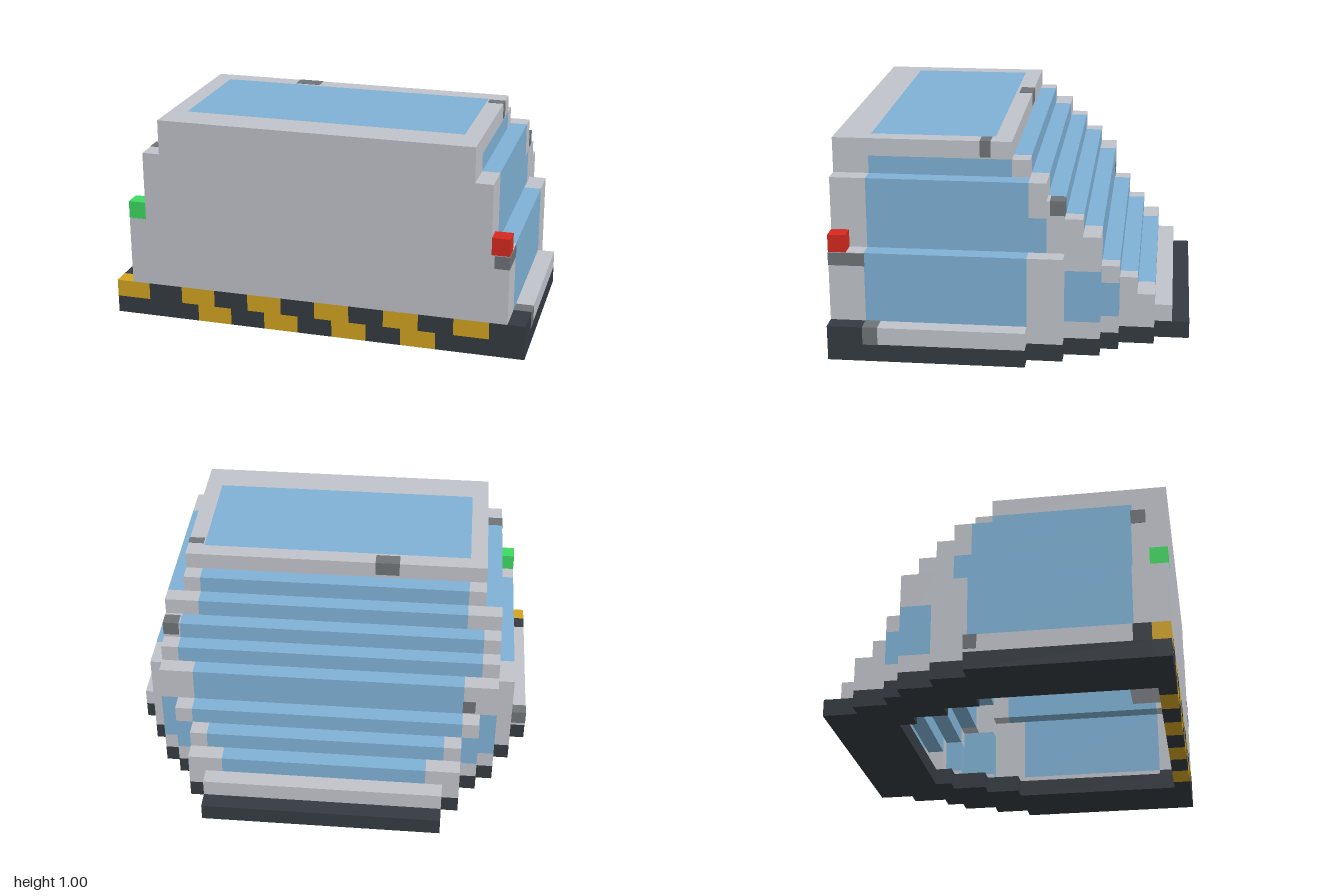
import * as THREE from 'three';

const U = 1 / 12; // one block; all coordinates below are in blocks

function material(name, color) {
  const m = new THREE.MeshStandardMaterial({ color });
  m.name = name;
  return m;
}

export function createModel() {
  const hull = material('hull grey', 0xc1c4ca);
  const glass = material('window blue', 0x7fb2d6);
  const dark = material('base charcoal', 0x353b42);
  const yellow = material('hazard yellow', 0xd3a520);
  const worn = material('worn grey', 0x707478);
  const red = material('red light', 0xd52a20);
  const green = material('green light', 0x3dda60);

  const model = new THREE.Group();
  model.name = 'cabin';
  const groups = {};

  // Block spanning the given ranges, collected under a named part
  function block(part, mat, x0, x1, y0, y1, z0, z1, grow = 0) {
    if (!groups[part]) {
      groups[part] = new THREE.Group();
      groups[part].name = part;
      model.add(groups[part]);
    }
    const g = new THREE.BoxGeometry((x1 - x0 + grow) * U, (y1 - y0 + grow) * U, (z1 - z0 + grow) * U);
    g.translate((x0 + x1) / 2 * U, (y0 + y1) / 2 * U, (z0 + z1) / 2 * U);
    const mesh = new THREE.Mesh(g, mat);
    mesh.name = part + 'Block';
    groups[part].add(mesh);
  }
  // Same block on both sides
  function pair(part, mat, x0, x1, ...rest) {
    block(part, mat, x0, x1, ...rest);
    block(part, mat, -x1, -x0, ...rest);
  }

  // Broad base ring around a stepped floor opening
  for (const [x0, x1, z0, z1] of [
    [8, 12, -1, 9], [7, 11, -3, -1], [6, 10, -5, -3], [5, 9, -6, -5],
  ]) pair('baseRing', dark, x0, x1, 0, 1, z0, z1);
  block('baseRing', dark, -8, 8, 0, 1, -8, -6);
  block('baseRing', dark, -7, 7, 0, 1, -10, -8);
  pair('baseRing', dark, 10, 12, 1, 2, 8, 9);

  // Hazard strip across the front: two offset rows of yellow and charcoal
  function hazardRow(y, starts) {
    let x = -12;
    for (const s of starts) {
      if (s > x) block('hazardStrip', dark, x, s, y, y + 1, 9, 10);
      block('hazardStrip', yellow, s, s + 2, y, y + 1, 9, 10);
      x = s + 2;
    }
    block('hazardStrip', dark, x, 12, y, y + 1, 9, 10);
  }
  hazardRow(1, [-12, -8, -4, 0, 4, 8]);
  hazardRow(0, [-7, -3, 1, 5]);

  // Front wall in three tiers
  for (const [w, y0, y1] of [[11, 2, 6], [10, 6, 10], [9, 10, 12]])
    block('frontWall', hull, -w, w, y0, y1, 9, 10);

  // Roof frame and skylight
  block('roof', hull, -9, 9, 11, 12, 0, 1);
  block('roof', hull, -9, 9, 11, 12, 8, 9);
  pair('roof', hull, 8, 9, 11, 12, 1, 8);
  block('skylight', glass, -8, 8, 11, 12, 1, 8);

  // Side walls: front posts, tiered windows and curb
  pair('frontPost', hull, 8, 9, 10, 11, 8, 9);
  pair('frontPost', hull, 9, 10, 6, 10, 8, 9);
  pair('frontPost', hull, 10, 11, 2, 6, 8, 9);
  pair('sideWindow', glass, 8, 9, 10, 11, 0, 8);
  pair('sideWindow', glass, 9, 10, 8, 10, -1, 8);
  pair('sideWindow', glass, 9, 10, 6, 8, -2, 8);
  pair('sideWindow', glass, 10, 11, 2, 6, -1, 8);
  pair('curb', hull, 10, 12, 1, 2, -1, 8);

  // Rear posts and the stepped lower side walls
  pair('rearPost', hull, 10, 11, 1, 6, -3, -1);
  pair('rearPost', hull, 9, 10, 8, 10, -2, -1);
  pair('rearPost', hull, 9, 10, 6, 8, -3, -2);
  pair('rearPost', hull, 9, 10, 5, 7, -4, -3);
  pair('rearSill', hull, 9, 10, 1, 2, -5, -3);
  pair('rearSill', hull, 8, 9, 1, 2, -6, -5);
  pair('rearSill', hull, 7, 8, 1, 3, -7, -6);
  pair('rearSill', hull, 7, 8, 1, 2, -8, -7);
  pair('rearSideWindow', glass, 9, 10, 2, 5, -5, -3);
  pair('rearSideWindow', glass, 8, 9, 2, 4, -6, -5);

  // Stepped rear windscreen: top, height, front edge, half width, glass half width
  for (const [top, h, z, w, gw] of [
    [11, 1, 0, 9, 8], [10, 1, -1, 9, 8], [9, 1, -2, 10, 9], [8, 1, -3, 10, 9],
    [7, 2, -4, 10, 8], [5, 1, -5, 9, 8], [4, 1, -6, 8, 7], [3, 1, -7, 8, 6],
  ]) {
    block('rearWindscreen', glass, -gw, gw, top - h, top, z - 1, z);
    pair('windscreenFrame', hull, gw, w, top - h, top, z - 1, z);
  }
  block('rearBumper', hull, -7, 7, 1, 2, -9, -8);

  // Seat fixed inside the front wall
  block('innerSeat', hull, -5, 1, 3, 7, 7, 9);

  // Side lights
  block('redLight', red, 10, 11, 6, 7, 9, 10);
  block('greenLight', green, -11, -10, 6, 7, 9, 10);

  // Worn patches, skinned just proud of the blocks beneath
  for (const p of [
    [-3.8, -2.4, 11.2, 12, 0, 0.8], [8.1, 9, 11.1, 12, 1.2, 1.75], [9.1, 10, 8.2, 9, -3, -2.2],
    [10.2, 11, 5.25, 5.95, 8, 10], [11, 12, 1, 2, 7.2, 8],
    [-10, -9.1, 9.2, 10, 8, 8.8], [-12, -11, 1.2, 2, -1, -0.3], [-8.7, -8, 5.1, 5.9, -5, -4.6],
  ]) block('wornPatch', worn, ...p, 0.04);

  return model;
}
